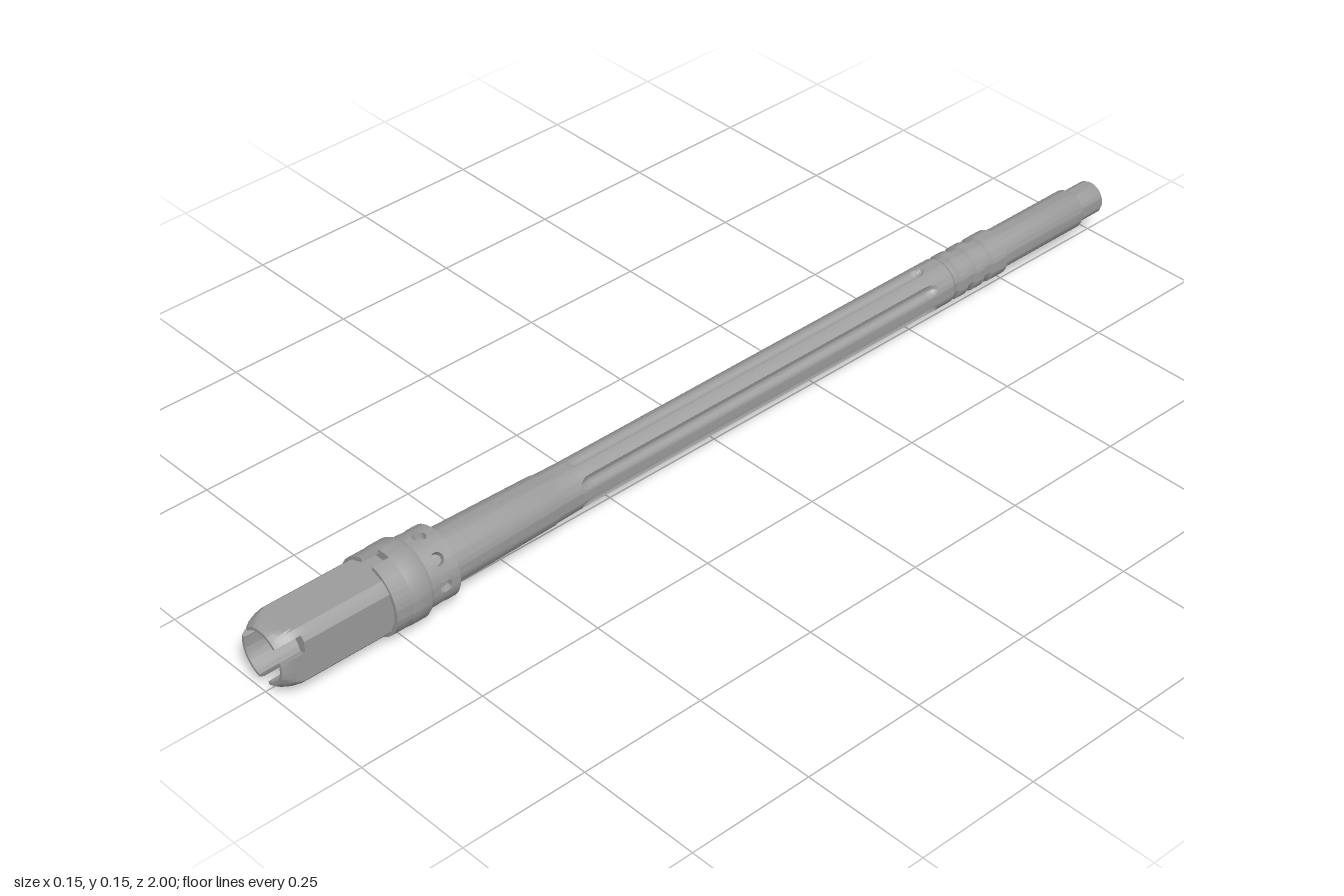
import * as THREE from 'three';
import { toCreasedNormals } from 'three/addons/utils/BufferGeometryUtils.js';

const AXIS_Y = 0.075;
const TAU = Math.PI * 2;
const steel = new THREE.MeshStandardMaterial({ color: 0x9c9c9c });
steel.name = 'steel grey';

// Surface of revolution along z; profile is a list of [radius, z], outside running to +z
function turned(profile) {
  const g = new THREE.LatheGeometry(profile.map(([r, z]) => new THREE.Vector2(r, z)), 64);
  return toCreasedNormals(g.rotateX(Math.PI / 2), 0.5);
}

// Grid surface: fn(u, v) returns [radius, angle, z] for index u around and v along
function grid(nu, nv, fn) {
  const pos = [], idx = [];
  for (let v = 0; v < nv; v++) {
    for (let u = 0; u <= nu; u++) {
      const [r, a, z] = fn(u, v);
      pos.push(r * Math.cos(a), r * Math.sin(a), z);
      if (u < nu && v < nv - 1) {
        const p = v * (nu + 1) + u, q = p + nu + 1;
        idx.push(p, p + 1, q, p + 1, q + 1, q);
      }
    }
  }
  const g = new THREE.BufferGeometry();
  g.setAttribute('position', new THREE.Float32BufferAttribute(pos, 3));
  g.setIndex(idx);
  return toCreasedNormals(g, 0.5);
}

// Barrel section with six scooped flutes
function flutedSection(z0, z1) {
  const R = 0.045, half = 0.012, depth = 0.011, endLen = 0.03;
  const angles = [];
  for (let k = 0; k < 6; k++) {
    const centre = Math.PI / 6 + k * Math.PI / 3;
    for (let i = 0; i <= 10; i++) angles.push([centre - Math.cos(i * Math.PI / 10) * half / R, -Math.cos(i * Math.PI / 10)]);
    for (let i = 1; i < 5; i++) angles.push([centre + half / R + (Math.PI / 3 - 2 * half / R) * i / 5, 1]);
  }
  angles.push([angles[0][0] + TAU, -1]);
  const rows = [];
  for (let i = 0; i <= 8; i++) rows.push([z0 + endLen * (1 - Math.cos(i * Math.PI / 16)), 1 - i / 8]);
  const ends = rows.map(([z]) => z);
  const zs = [...ends, ...ends.map((z) => z0 + z1 - z).reverse()];
  return grid(angles.length - 1, zs.length, (u, v) => {
    const [a, s] = angles[u], z = zs[v];
    const e = Math.max(0, z0 + endLen - z, z - (z1 - endLen)) / endLen;
    return [R - depth * Math.sqrt(Math.max(0, 1 - s * s - e * e)), a, z];
  });
}

// Four-flat muzzle head with a bevelled end, a recess and three end notches
function muzzleHead() {
  const half = 0.25, eps = 1e-4;
  const notches = [Math.PI / 6, Math.PI * 5 / 6, Math.PI * 1.5];
  const angles = [];
  for (let i = 0; i <= 96; i++) angles.push(i * TAU / 96);
  const flatEdge = Math.acos(0.057 / 0.069);
  for (let k = 0; k < 4; k++) {
    const c = k * Math.PI / 2;
    angles.push(c + flatEdge, (c - flatEdge + TAU) % TAU);
  }
  for (const n of notches) angles.push(n - half - eps, n - half, n + half, n + half + eps);
  angles.sort((a, b) => a - b);
  const profile = [
    [0.069, 0.70], [0.069, 0.94], [0.069, 0.96], [0.066, 0.975], [0.06, 0.99], [0.053, 1.0],
    [0.047, 1.0], [0.046, 0.96], [0.045, 0.90], [0.03, 0.89], [0.018, 0.86],
  ];
  return grid(angles.length - 1, profile.length, (u, v) => {
    const a = angles[u], [r, z] = profile[v];
    const flat = 0.057 / Math.max(Math.abs(Math.cos(a)), Math.abs(Math.sin(a)));
    const inNotch = notches.some((n) => Math.abs(a - n) <= half + eps / 2);
    return [Math.min(r, flat), a, inNotch ? Math.min(z, 0.955) : z];
  });
}

// One eighth of the drilled ring: a curved panel with a blind round hole
function drilledPanel(centre) {
  const R = 0.067, zMid = 0.67, halfZ = 0.031, halfA = Math.PI / 8, hole = 0.012;
  return grid(32, 5, (u, v) => {
    const t = u * TAU / 32, c = Math.cos(t), s = Math.sin(t);
    const m = Math.max(Math.abs(c), Math.abs(s));
    const edge = [c / m * halfA, s / m * halfZ];
    const rim = [c * hole / R, s * hole];
    const mix = [0, 0.5, 1, 1, 1][v];
    const k = v === 4 ? 0 : 1;
    return [v < 3 ? R : R - 0.012,
      centre + k * (edge[0] + (rim[0] - edge[0]) * mix),
      zMid + k * (edge[1] + (rim[1] - edge[1]) * mix)];
  });
}

// Half of the collar lip, leaving slots at top and bottom
function collarLip(mid) {
  const gap = 0.2, a0 = mid - Math.PI / 2 + gap, a1 = mid + Math.PI / 2 - gap;
  const shape = new THREE.Shape();
  shape.absarc(0, 0, 0.074, a0, a1, false);
  shape.absarc(0, 0, 0.066, a1, a0, true);
  shape.closePath();
  const g = new THREE.ExtrudeGeometry(shape, { depth: 0.035, bevelEnabled: false, curveSegments: 32 });
  return toCreasedNormals(g.translate(0, 0, 0.745), 0.5);
}

export function createModel() {
  const model = new THREE.Group();
  model.name = 'flutedBarrel';
  const add = (name, geometry) => {
    const mesh = new THREE.Mesh(geometry, steel);
    mesh.name = name;
    mesh.position.y = AXIS_Y;
    model.add(mesh);
  };

  // Rear tenon and shank
  add('rearTenon', turned([[0.02, -1], [0.031, -1], [0.033, -0.996], [0.033, -0.938], [0.037, -0.938]]));
  add('rearShank', turned([[0.037, -0.938], [0.039, -0.934], [0.039, -0.72]]));

  // Three raised bands separated by grooves
  const bands = [[0.039, -0.72]];
  for (const [a, b] of [[-0.72, -0.675], [-0.658, -0.63], [-0.614, -0.588]]) {
    bands.push([0.04, a], [0.045, a + 0.004], [0.045, b - 0.004], [0.04, b]);
  }
  bands.push([0.04, -0.58], [0.045, -0.572], [0.045, -0.53]);
  add('grippingBands', turned(bands));

  // Barrel body
  add('flutedBarrelSection', flutedSection(-0.53, 0.345));
  add('taperedBarrelSection', turned([
    [0.045, 0.345], [0.0465, 0.40], [0.048, 0.405], [0.0525, 0.64],
  ]));

  // Drilled ring
  add('drilledRingRear', turned([[0.05, 0.639], [0.067, 0.639]]));
  for (let i = 0; i < 8; i++) add('drilledRingPanel', drilledPanel(i * Math.PI / 4));

  // Collar
  add('collar', turned([
    [0.066, 0.70], [0.071, 0.70], [0.075, 0.708], [0.075, 0.735], [0.074, 0.745], [0.05, 0.745],
  ]));
  add('collarLipLeft', collarLip(0));
  add('collarLipRight', collarLip(Math.PI));

  // Head and bore
  add('muzzleHead', muzzleHead());
  add('bore', turned([[0.018, 0.86], [0.018, -0.985], [0.02, -1]]));

  return model;
}
